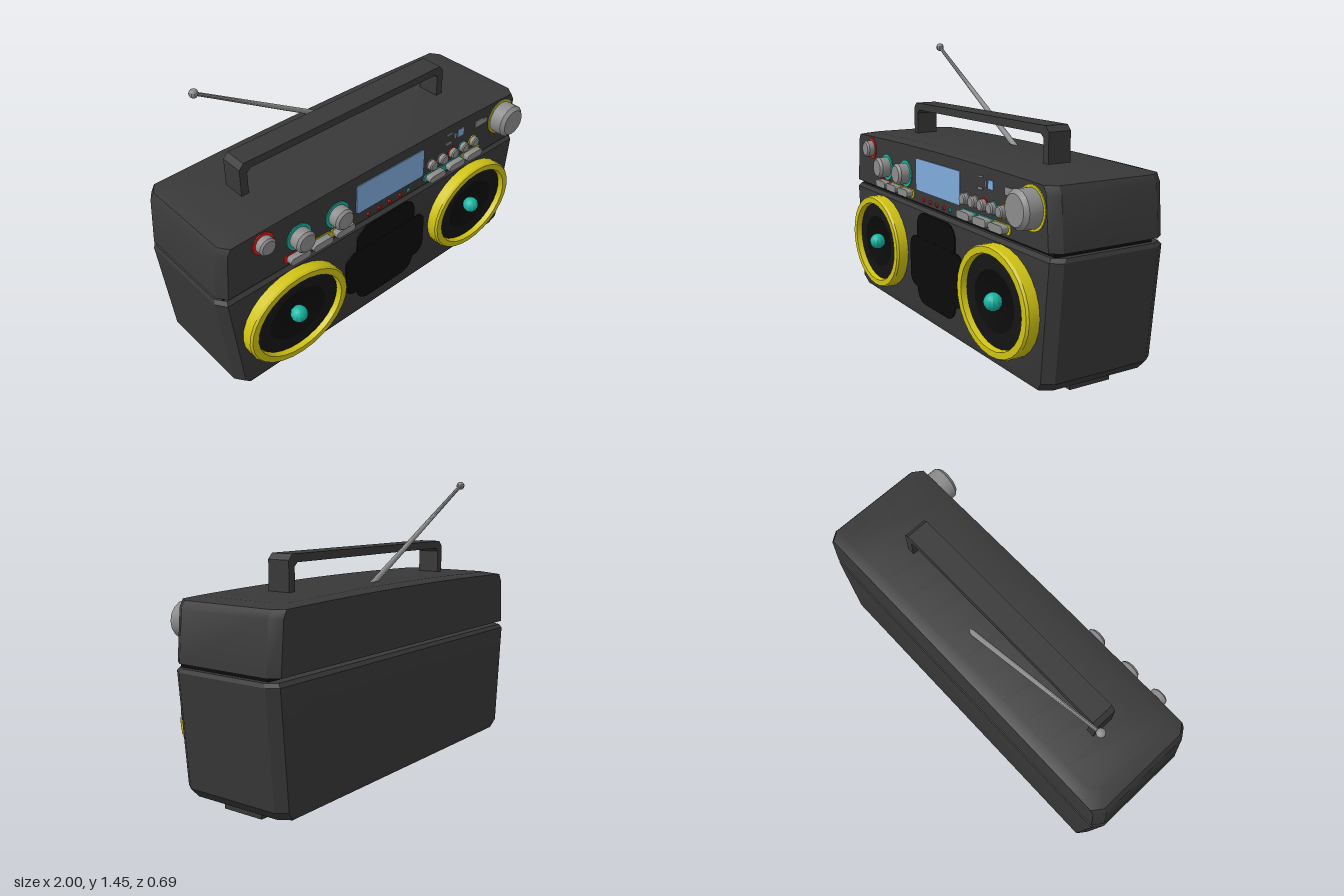
import * as THREE from 'three';
import { toCreasedNormals } from 'three/addons/utils/BufferGeometryUtils.js';

const FRONT = 0.255; // plane of the front panel

export function createModel() {
  const root = new THREE.Group();
  root.name = 'portableStereo';

  const mat = (name, color) => {
    const m = new THREE.MeshStandardMaterial({ color });
    m.name = name;
    return m;
  };
  const casing = mat('charcoal casing', 0x383838);
  const black = mat('black mesh', 0x0b0b0b);
  const darkCone = mat('dark cone', 0x151515);
  const metal = mat('grey metal', 0x8c8c8c);
  const yellow = mat('yellow trim', 0xcfc314);
  const teal = mat('teal trim', 0x16b5a2);
  const red = mat('red trim', 0xdc1a1a);
  const blue = mat('blue screen', 0x7fabdc);

  const add = (name, geo, material, x = 0, y = 0, z = 0, crease = 0.5) => {
    const mesh = new THREE.Mesh(toCreasedNormals(geo, crease), material);
    mesh.name = name;
    mesh.position.set(x, y, z);
    root.add(mesh);
    return mesh;
  };

  // Shell lofted through chamfered rectangles: [y, halfWidth, zFront, zBack, arch]
  const shell = (rings) => {
    const N = 12, M = 2 * N + 6, pos = [], idx = [];
    for (const [y, hx, zf, zb, arch = 0] of rings) {
      const w = hx - 0.035, c = 0.05;
      const put = (x, z) => pos.push(x, y + arch * (1 - (x / hx) ** 2), z);
      for (let i = 0; i <= N; i++) put(-w + 2 * w * i / N, zf);
      put(hx, zf - c); put(hx, zb + c);
      for (let i = 0; i <= N; i++) put(w - 2 * w * i / N, zb);
      put(-hx, zb + c); put(-hx, zf - c);
    }
    const quad = (a, b, c, d) => idx.push(a, b, c, a, c, d);
    for (let r = 0; r < rings.length - 1; r++)
      for (let i = 0; i < M; i++) {
        const j = (i + 1) % M, o = r * M;
        quad(o + i, o + j, o + M + j, o + M + i);
      }
    const top = (rings.length - 1) * M;
    for (let i = -1; i <= N; i++) {
      const a = (i + M) % M, b = i + 1, c = 2 * N + 2 - i, d = 2 * N + 3 - i;
      quad(top + a, top + b, top + c, top + d);
      quad(d, c, b, a);
    }
    const g = new THREE.BufferGeometry();
    g.setAttribute('position', new THREE.Float32BufferAttribute(pos, 3));
    g.setIndex(idx);
    return g;
  };

  // Turned part whose axis points forward
  const turned = (pts, sides = 24) =>
    new THREE.LatheGeometry(pts.map(p => new THREE.Vector2(...p)), sides).rotateX(Math.PI / 2);

  const roundRect = (w, h, r) => {
    const s = new THREE.Shape();
    const q = Math.PI / 2;
    s.absarc(w / 2 - r, h / 2 - r, r, 0, q);
    s.absarc(-w / 2 + r, h / 2 - r, r, q, 2 * q);
    s.absarc(-w / 2 + r, -h / 2 + r, r, 2 * q, 3 * q);
    s.absarc(w / 2 - r, -h / 2 + r, r, 3 * q, 4 * q);
    return s;
  };
  const plate = (shape, depth = 0.005) =>
    new THREE.ExtrudeGeometry(shape, { depth, bevelEnabled: false, curveSegments: 6 });

  // Casing halves and the dark seam between them
  add('lowerCasing', shell([
    [0.03, 0.87, 0.2, -0.29], [0.042, 0.915, 0.242, -0.33], [0.085, 0.95, FRONT, -0.342],
    [0.62, 0.998, FRONT, -0.345], [0.638, 0.99, 0.24, -0.33]]), casing);
  add('seam', new THREE.BoxGeometry(1.93, 0.04, 0.51), black, 0, 0.648, -0.03);
  add('upperCasing', shell([
    [0.658, 0.992, FRONT, -0.345], [0.895, 0.972, FRONT, -0.345],
    [0.93, 0.952, FRONT, -0.345, 0.015], [0.945, 0.88, 0.2, -0.29, 0.015]]), casing);

  // Feet
  for (const s of [-1, 1])
    add('foot', new THREE.BoxGeometry(0.215, 0.04, 0.22), casing, s * 0.767, 0.02, -0.04);

  // Carrying handle
  const arch = new THREE.Shape([[-0.685, 0.93], [-0.645, 0.93], [-0.645, 1.065], [-0.625, 1.083],
    [0.56, 1.083], [0.58, 1.065], [0.58, 0.93], [0.62, 0.93], [0.62, 1.095], [0.595, 1.122],
    [-0.66, 1.122], [-0.685, 1.095]].map(p => new THREE.Vector2(...p)));
  add('handle', plate(arch, 0.12), casing, 0, 0, -0.1);

  // Antenna
  const base = new THREE.Vector3(0.085, 0.945, -0.165), tip = new THREE.Vector3(-0.745, 1.425, -0.18);
  const dir = tip.clone().sub(base);
  const mid = base.clone().add(tip).multiplyScalar(0.5);
  const rod = add('antennaRod', new THREE.CylinderGeometry(0.009, 0.015, dir.length(), 8), metal, mid.x, mid.y, mid.z, 1);
  rod.quaternion.setFromUnitVectors(new THREE.Vector3(0, 1, 0), dir.normalize());
  add('antennaTip', new THREE.SphereGeometry(0.022, 10, 8), metal, tip.x, tip.y, tip.z);

  // Oval speakers
  for (const s of [-1, 1]) {
    const x = s * 0.61, y = 0.365;
    const oval = (pts) => turned(pts, 28).scale(1, 0.86, 1);
    add('speakerRim', oval([[0.295, -0.01], [0.295, 0.052], [0.287, 0.063], [0.252, 0.063], [0.246, 0.03]]),
      yellow, x, y, FRONT);
    add('speakerSurround', oval([[0.25, 0.034], [0.165, 0.04]]), darkCone, x, y, FRONT);
    add('speakerCone', oval([[0.166, 0.04], [0.06, 0.012], [0, 0.012]]), black, x, y, FRONT);
    add('speakerCap', new THREE.SphereGeometry(0.043, 12, 8), teal, x, y, 0.3);
  }

  // Central grille: tall panel with wide side lobes
  add('grilleCentre', plate(roundRect(0.4, 0.485, 0.08)), black, 0, 0.373, FRONT);
  add('grilleSides', plate(roundRect(0.55, 0.27, 0.06)), black, 0, 0.345, FRONT + 0.001);

  // Display
  add('display', plate(roundRect(0.455, 0.165, 0.015)), blue, 0.023, 0.806, FRONT);

  // Knobs with a coloured ring behind: [x, y, radius, height, ring radius, ring colour]
  const knobs = [
    [-0.752, 0.868, 0.045, 0.045, 0.058, red],
    [-0.555, 0.79, 0.056, 0.065, 0.071, teal], [-0.325, 0.79, 0.056, 0.065, 0.071, teal],
    [0.84, 0.825, 0.088, 0.09, 0.099, yellow]];
  [metal, metal, red, teal, yellow].forEach((m, i) =>
    knobs.push([0.307 + i * 0.079, 0.768, 0.028, 0.03, 0.032, m]));
  for (const [x, y, r, h, ring, m] of knobs) {
    add('knobRing', turned([[ring, 0], [ring, 0.005], [0, 0.005]]), m, x, y, FRONT);
    add('knob', turned([[r, 0], [r, h * 0.8], [r * 0.8, h], [0, h]], 16), metal, x, y, FRONT);
  }

  // Push buttons on coloured backings
  [[-0.575, red], [-0.44, yellow], [-0.3, yellow], [0.33, teal], [0.475, teal], [0.612, yellow]]
    .forEach(([x, m]) => {
      add('buttonBacking', plate(roundRect(0.145, 0.046, 0.02)), m, x, 0.695, FRONT);
      add('pushButton', plate(roundRect(0.115, 0.038, 0.016), 0.038), metal, x, 0.696, FRONT);
    });

  // Indicator lights
  [-0.125, -0.053, 0.018, 0.09, 0.15].forEach((x, i) =>
    add('indicatorLight', new THREE.SphereGeometry(0.011, 8, 6), i < 4 ? red : teal, x, 0.683, FRONT));

  // Small panel markings
  for (const [x, y, w, h, m] of [
    [0.435, 0.892, 0.04, 0.008, metal], [0.43, 0.838, 0.04, 0.012, metal],
    [0.478, 0.865, 0.012, 0.03, metal], [0.52, 0.867, 0.042, 0.042, blue],
    [0.665, 0.862, 0.06, 0.035, metal], [0.7, 0.858, 0.045, 0.025, metal]])
    add('panelMarking', new THREE.BoxGeometry(w, h, 0.006), m, x, y, FRONT + 0.001);

  return root;
}
